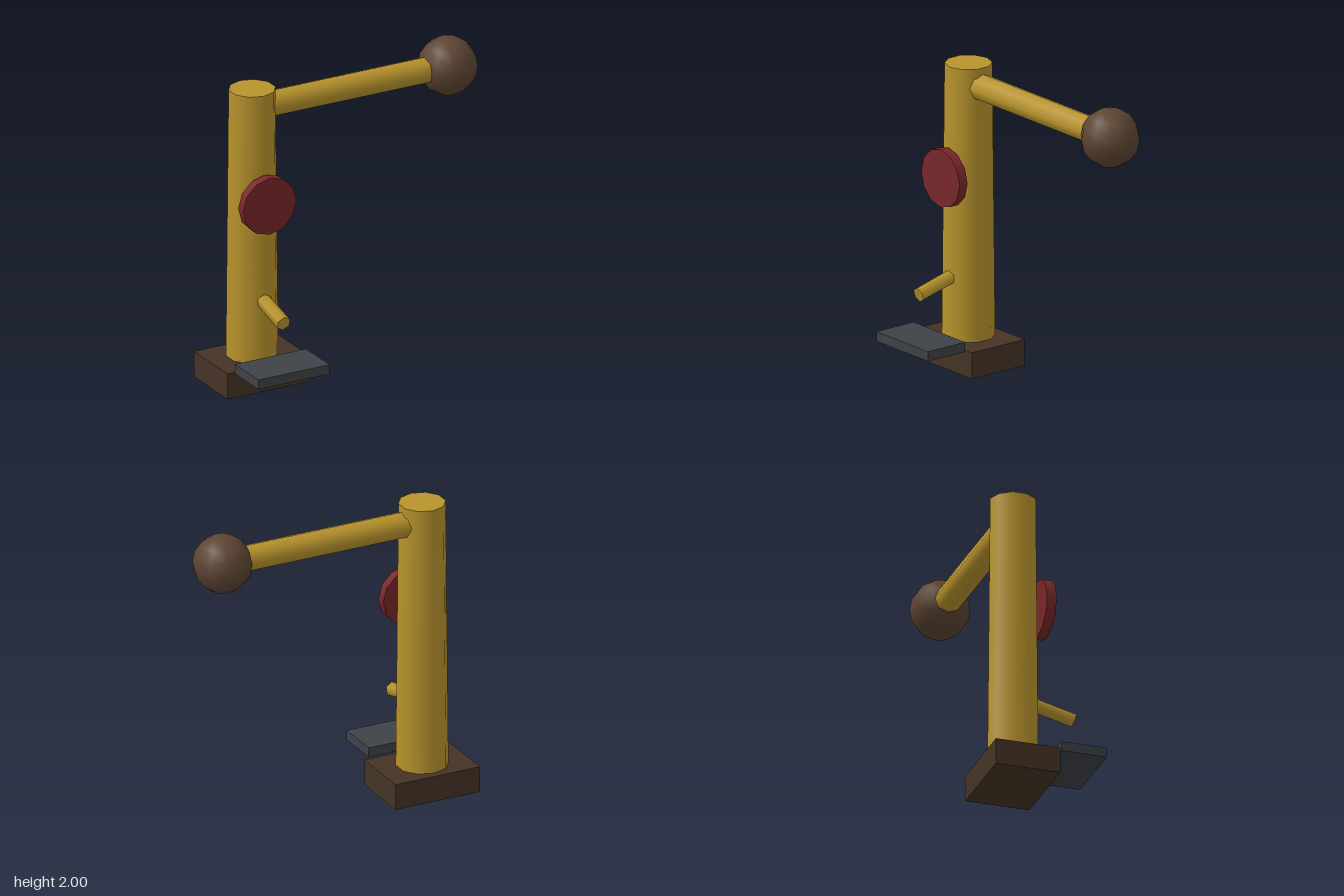
import * as THREE from 'three';

const material = (color) => new THREE.MeshStandardMaterial({ color });
const gold = material(0xb8932c);
const darkWood = material(0x453325);
const brown = material(0x5c4432);
const red = material(0x782729);
const slate = material(0x3e4247);

const POST_X = -0.643;
const POST_Z = -0.158;
const ARM_Y = 1.813;

export function createModel() {
  const model = new THREE.Group();
  model.name = 'leverPost';

  const add = (name, geometry, mat, x, y, z) => {
    const mesh = new THREE.Mesh(geometry, mat);
    mesh.name = name;
    mesh.position.set(x, y, z);
    model.add(mesh);
    return mesh;
  };

  // Base block and the ten-sided tapering post
  add('base', new THREE.BoxGeometry(0.585, 0.17, 0.42), darkWood, POST_X, 0.085, POST_Z);
  add('post', new THREE.CylinderGeometry(0.148, 0.165, 1.77, 10), gold, POST_X, 1.055, POST_Z);

  // Side arm, running from inside the post into the ball
  const armStart = POST_X + 0.05;
  const armEnd = 0.7;
  const arm = add('arm', new THREE.CylinderGeometry(0.085, 0.085, armEnd - armStart, 8),
    gold, (armStart + armEnd) / 2, ARM_Y, POST_Z);
  arm.rotation.z = -Math.PI / 2;
  add('ball', new THREE.SphereGeometry(0.188, 10, 8), brown, 0.744, ARM_Y, POST_Z);

  // Round plate on the front of the post
  const disc = add('disc', new THREE.CylinderGeometry(0.188, 0.188, 0.063, 12),
    red, POST_X, 1.232, 0.033);
  disc.rotation.x = Math.PI / 2;

  // Six-sided peg, drooping forward
  const tilt = 0.25;
  const pegLength = 0.32;
  const peg = add('peg', new THREE.CylinderGeometry(0.048, 0.048, pegLength, 6), gold, POST_X,
    0.511 + Math.sin(tilt) * pegLength / 2, 0.238 - Math.cos(tilt) * pegLength / 2);
  peg.rotation.x = Math.PI / 2 + tilt;

  // Flat pedal in front of the base
  add('pedal', new THREE.BoxGeometry(0.505, 0.063, 0.295), slate, POST_X, 0.202, 0.22);

  return model;
}
